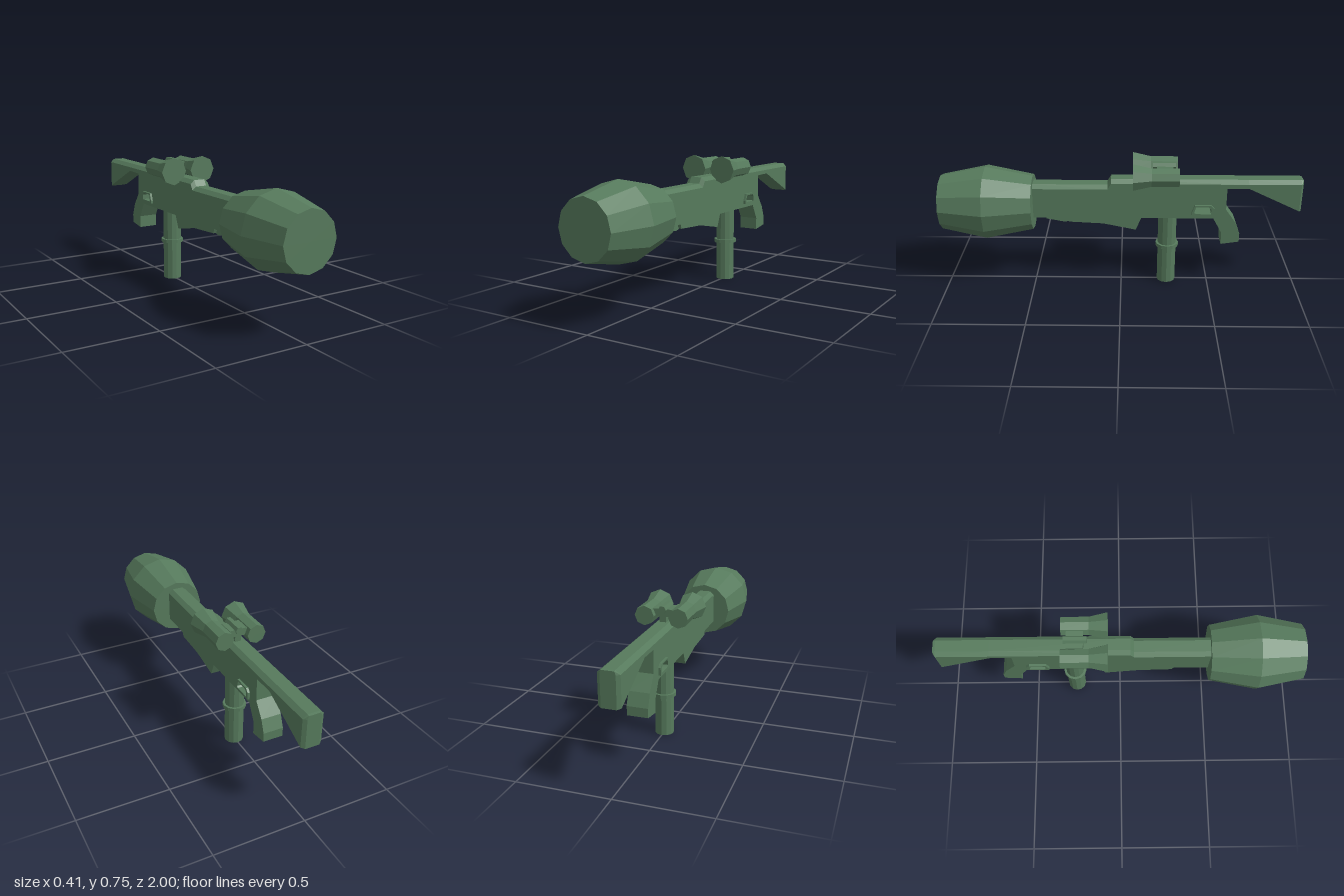
import * as THREE from 'three';
import { ConvexGeometry } from 'three/addons/geometries/ConvexGeometry.js';

const material = new THREE.MeshStandardMaterial({ color: 0x567a5c, flatShading: true });
const BODY_X = -0.004;

export function createModel() {
  const model = new THREE.Group();

  const add = (name, geometry, x = 0, y = 0, z = 0, parent = model) => {
    const mesh = new THREE.Mesh(geometry, material);
    mesh.name = name;
    mesh.position.set(x, y, z);
    parent.add(mesh);
    return mesh;
  };
  const toVectors = (pts) => pts.map(([z, y]) => new THREE.Vector2(z, y));

  // Side profile given as [z, y], extruded across x and centred
  const slab = (profile, width, hole) => {
    const shape = new THREE.Shape(toVectors(profile));
    if (hole) shape.holes.push(new THREE.Path(toVectors(hole)));
    const g = new THREE.ExtrudeGeometry(shape, { depth: width, bevelEnabled: false });
    return g.translate(0, 0, -width / 2).rotateY(-Math.PI / 2);
  };
  // Solid of revolution along z from [radius, z] pairs, ordered back to front
  const turned = (profile, sides, phase = 0) =>
    new THREE.LatheGeometry(toVectors(profile), sides, phase).rotateX(Math.PI / 2);
  // Convex solid mirrored across x from [x, y, z] corners
  const hull = (corners) => new ConvexGeometry(corners.flatMap(([x, y, z]) =>
    [new THREE.Vector3(x, y, z), new THREE.Vector3(-x, y, z)]));

  // Muzzle drum
  add('muzzleDrum', turned([[0, 0.49], [0.155, 0.49], [0.207, 0.75], [0.155, 1], [0, 1]], 12), 0, 0.49, 0);

  // Receiver with pistol grip, pierced behind the trigger guard
  const guardHole = [[-0.407, 0.455], [-0.415, 0.488], [-0.485, 0.488], [-0.5, 0.475], [-0.5, 0.447], [-0.415, 0.447]];
  add('receiverAndGrip', slab([
    [0.495, 0.415], [0.495, 0.587], [0.075, 0.587], [0.055, 0.62], [-0.7, 0.62], [-0.7, 0.597],
    [-0.583, 0.595], [-0.583, 0.47], [-0.64, 0.39], [-0.667, 0.32], [-0.667, 0.27],
    [-0.565, 0.255], [-0.565, 0.325], [-0.515, 0.415],
  ], 0.112, guardHole), BODY_X);
  add('triggerGuard', slab([
    [-0.393, 0.437], [-0.393, 0.455], [-0.408, 0.497], [-0.5, 0.497], [-0.518, 0.478], [-0.518, 0.437],
  ], 0.138, guardHole), BODY_X);

  // Chamfered top rail, stepped up behind the barrel section
  const railStations = [[0.495, 0.607], [0.075, 0.607], [0.055, 0.64], [-0.7, 0.64]];
  for (let i = 0; i < railStations.length - 1; i++) {
    add('topRail', hull([railStations[i], railStations[i + 1]].flatMap(([z, y]) =>
      [[0.056, y - 0.02, z], [0.032, y, z]])), BODY_X);
  }

  // Shoulder stock with bevelled butt edges
  add('stock', hull([
    [0.056, 0.597, -0.7], [0.056, 0.62, -0.7], [0.032, 0.64, -0.7],
    [0.056, 0.62, -0.987], [0.032, 0.64, -0.987], [0.056, 0.462, -0.987],
    [0.038, 0.62, -1], [0.032, 0.638, -1], [0.038, 0.456, -1],
  ]), BODY_X);

  // Handguard under the barrel section
  add('handguard', slab([
    [0.3, 0.42], [0.29, 0.39], [0.1, 0.38], [-0.083, 0.342], [-0.115, 0.42],
  ], 0.112), BODY_X);
  add('handguardNose', slab([
    [0.42, 0.42], [0.42, 0.4], [0.313, 0.38], [0.28, 0.39], [0.28, 0.42],
  ], 0.075), BODY_X);

  // Vertical foregrip and its collar
  add('foregrip', new THREE.CylinderGeometry(0.052, 0.052, 0.43, 12), 0, 0.215, -0.262);
  add('foregripCollar', new THREE.CylinderGeometry(0.065, 0.065, 0.02, 12), 0, 0.232, -0.262);

  // Twin-barrel sight
  const sight = new THREE.Group();
  sight.name = 'sight';
  model.add(sight);
  for (const side of [-1, 1]) {
    add('sightBarrel', turned(
      [[0, -0.315], [0.053, -0.315], [0.053, -0.165], [0.077, -0.065], [0, -0.065]], 8),
    -0.003 + side * 0.092, 0.675, 0, sight);
  }
  add('sightHinge', turned([[0, -0.3], [0.022, -0.3], [0.022, -0.175], [0, -0.175]], 6, Math.PI / 6),
    -0.003, 0.708, 0, sight);
  add('sightBridge', new THREE.BoxGeometry(0.1, 0.04, 0.09), -0.003, 0.69, -0.24, sight);
  add('sightMount', new THREE.BoxGeometry(0.035, 0.07, 0.09), -0.003, 0.665, -0.24, sight);

  return model;
}
